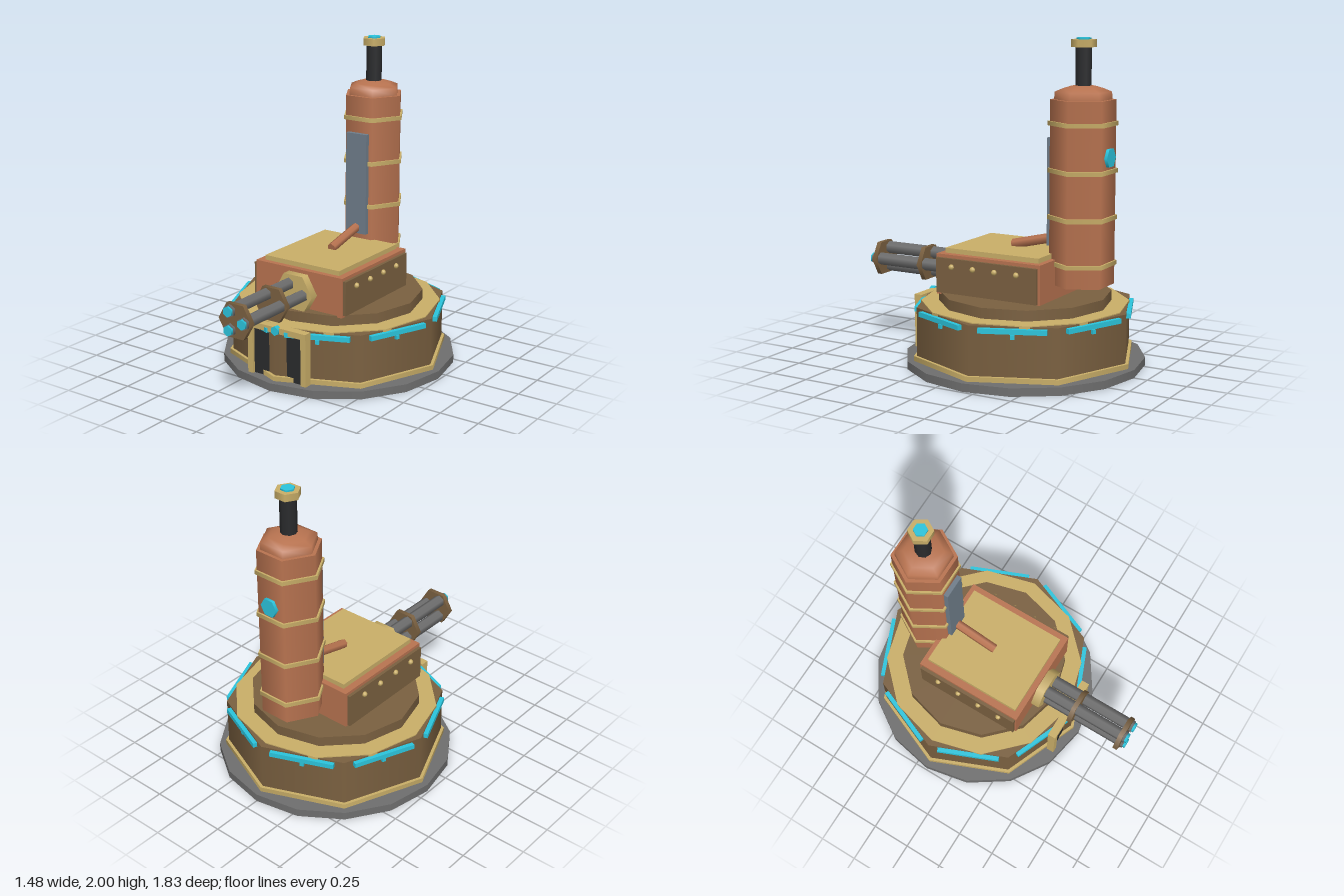
import * as THREE from 'three';

const mat = (color) => new THREE.MeshStandardMaterial({ color });
const COPPER = mat(0xb87350), BROWN = mat(0x7a6040), GOLD = mat(0xc9ae68), CYAN = mat(0x2bc4dc);
const GREY = mat(0x6e6e6e), DARK = mat(0x2a2b2d), SLATE = mat(0x6f7d8a);

export function createModel() {
  const model = new THREE.Group();

  const add = (name, geometry, material, x = 0, y = 0, z = 0, parent = model) => {
    const mesh = new THREE.Mesh(geometry, material);
    mesh.name = name;
    mesh.position.set(x, y, z);
    parent.add(mesh);
    return mesh;
  };
  // Box given by its extents
  const box = (name, m, x0, x1, y0, y1, z0, z1) =>
    add(name, new THREE.BoxGeometry(x1 - x0, y1 - y0, z1 - z0), m, (x0 + x1) / 2, (y0 + y1) / 2, (z0 + z1) / 2);
  // Upright prism from y0 to y1
  const prism = (name, m, r, sides, y0, y1, z, turn = 0) =>
    add(name, new THREE.CylinderGeometry(r, r, y1 - y0, sides, 1, false, turn), m, 0, (y0 + y1) / 2, z);
  // Six-sided prism lying along z
  const hexZ = (name, m, r, x, y, z0, z1, turn = Math.PI / 6) => {
    const g = new THREE.CylinderGeometry(r, r, z1 - z0, 6, 1, false, turn).rotateX(Math.PI / 2);
    return add(name, g, m, x, y, (z0 + z1) / 2);
  };

  // Round base
  const CZ = -0.175;
  prism('basePlate', GREY, 0.74, 16, 0, 0.05, CZ);
  prism('baseBand', GOLD, 0.7, 8, 0.05, 0.08, CZ);
  prism('drum', BROWN, 0.68, 8, 0.08, 0.38, CZ);
  prism('drumTop', GOLD, 0.64, 12, 0.365, 0.386, CZ);
  prism('turretRing', BROWN, 0.53, 12, 0.38, 0.45, CZ);

  // Light strips with a small lug, one on each drum face
  for (let i = 0; i < 8; i++) {
    const strip = new THREE.Group();
    strip.name = 'lightStrip';
    strip.position.z = CZ;
    strip.rotation.y = ((i + 0.5) * Math.PI) / 4;
    add('stripBar', new THREE.BoxGeometry(0.4, 0.03, 0.04), CYAN, 0, 0.355, 0.635, strip);
    add('stripLug', new THREE.BoxGeometry(0.025, 0.025, 0.03), CYAN, 0, 0.32, 0.63, strip);
    model.add(strip);
  }

  // Doorway
  box('door', DARK, -0.18, 0.18, 0.05, 0.35, 0.4, 0.478);
  for (const s of [-1, 1]) box('doorPost', GOLD, s * 0.197 - 0.019, s * 0.197 + 0.019, 0.05, 0.35, 0.445, 0.495);
  box('doorLintel', GOLD, -0.216, 0.216, 0.348, 0.386, 0.445, 0.498);
  hexZ('doorLamp', CYAN, 0.03, 0, 0.367, 0.48, 0.512, 0);

  // Turret housing
  box('turretBody', COPPER, -0.32, 0.32, 0.44, 0.69, -0.45, 0.265);
  box('turretRoof', GOLD, -0.275, 0.275, 0.69, 0.72, -0.415, 0.23);
  for (const s of [-1, 1]) {
    box('sidePanel', BROWN, s * 0.325 - 0.015, s * 0.325 + 0.015, 0.455, 0.67, -0.435, 0.255);
    for (let i = 0; i < 4; i++)
      add('rivet', new THREE.SphereGeometry(0.018, 8, 6), GOLD, s * 0.343, 0.62, 0.145 - i * 0.149);
  }

  // Triple-barrelled gun
  const GY = 0.548;
  hexZ('gunMount', GOLD, 0.138, 0, GY, 0.24, 0.32);
  for (const z of [0.515, 0.855]) hexZ('barrelClamp', BROWN, 0.12, 0, GY, z, z + 0.03);
  for (let i = 0; i < 3; i++) {
    const a = (i * Math.PI * 2) / 3;
    const x = 0.067 * Math.cos(a), y = GY + 0.067 * Math.sin(a);
    hexZ('barrel', GREY, 0.04, x, y, 0.3, 0.9, 0);
    hexZ('barrelTip', CYAN, 0.033, x, y, 0.89, 0.915, 0);
  }

  // Six-sided tower
  const TZ = -0.56, TURN = Math.PI / 6;
  prism('tower', COPPER, 0.195, 6, 0.535, 1.64, TZ, TURN);
  for (const y of [0.665, 0.94, 1.22, 1.5]) prism('towerBand', GOLD, 0.208, 6, y - 0.013, y + 0.013, TZ, TURN);
  const domeProfile = [[0.172, 1.635], [0.168, 1.685], [0.12, 1.705], [0.07, 1.72], [0, 1.725]]
    .map(([r, y]) => new THREE.Vector2(r, y));
  add('towerDome', new THREE.LatheGeometry(domeProfile, 6, TURN), COPPER, 0, 0, TZ);
  prism('chimney', DARK, 0.05, 8, 1.7, 1.95, TZ);
  prism('chimneyCap', GOLD, 0.076, 6, 1.945, 1.99, TZ, TURN);
  prism('chimneyLamp', CYAN, 0.043, 6, 1.985, 2, TZ, TURN);
  box('towerPlate', SLATE, -0.075, 0.075, 0.76, 1.41, -0.4, -0.362);
  hexZ('rearLamp', CYAN, 0.06, 0, 1.305, -0.748, -0.72);

  // Sloping pipe from the roof to the tower
  const from = new THREE.Vector3(0, 0.73, -0.09), to = new THREE.Vector3(0, 0.805, -0.4);
  const pipe = add('pipe', new THREE.CylinderGeometry(0.03, 0.03, from.distanceTo(to), 6), COPPER);
  pipe.position.lerpVectors(from, to, 0.5);
  pipe.quaternion.setFromUnitVectors(new THREE.Vector3(0, 1, 0), to.clone().sub(from).normalize());

  return model;
}
